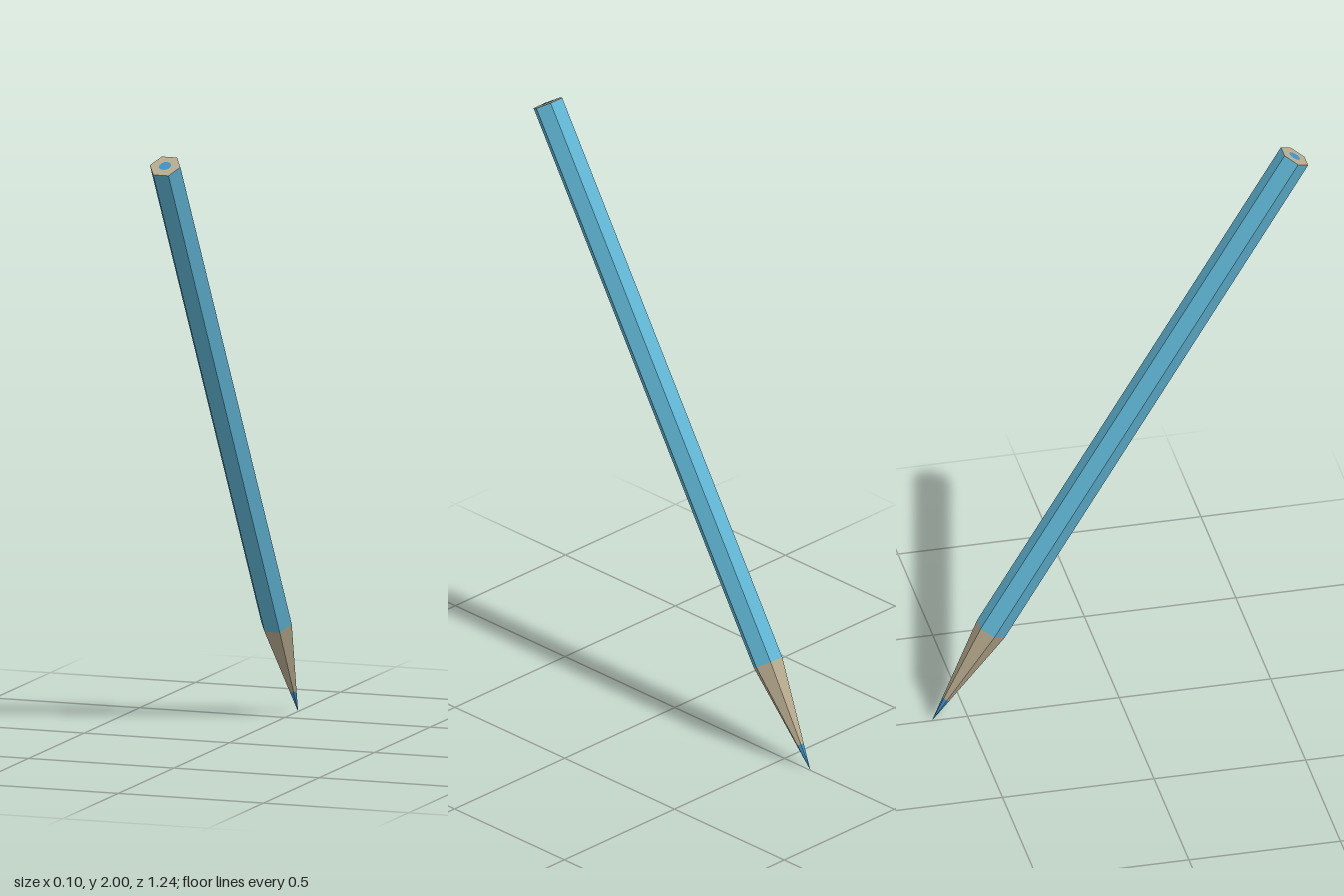
import * as THREE from 'three';

const RADIUS = 0.0525;   // hexagon corner radius
const LENGTH = 2.312;    // tip to flat end
const CONE = 0.375;      // sharpened length
const LEAD_TIP = 0.09;   // exposed lead length
const TILT = 0.544;      // lean towards the front
const START = Math.PI / 6; // puts two hexagon corners on the x axis

export function createModel() {
  const paint = new THREE.MeshStandardMaterial({ color: 0x5fb4d3 });
  const wood = new THREE.MeshStandardMaterial({ color: 0xb8ab8e });
  const lead = new THREE.MeshStandardMaterial({ color: 0x3f92c4 });
  paint.name = 'bluePaint';
  wood.name = 'bareWood';
  lead.name = 'blueLead';
  for (const m of [paint, wood, lead]) m.flatShading = true;

  const pencil = new THREE.Group();
  pencil.name = 'pencil';
  const add = (name, geometry, material, y) => {
    const mesh = new THREE.Mesh(geometry, material);
    mesh.name = name;
    mesh.position.y = y;
    pencil.add(mesh);
    return mesh;
  };

  // Six-sided section of the pencil between two heights along its axis
  const section = (name, y0, y1, r0, r1, material) => add(name,
    new THREE.CylinderGeometry(r1, r0, y1 - y0, 6, 1, true, START), material, (y0 + y1) / 2);

  section('shaft', CONE, LENGTH, RADIUS, RADIUS, paint);
  section('sharpenedWood', LEAD_TIP, CONE, RADIUS * LEAD_TIP / CONE, RADIUS, wood);
  section('leadTip', 0, LEAD_TIP, 0, RADIUS * LEAD_TIP / CONE, lead);

  // Flat end with the lead core showing in its middle
  add('endWood', new THREE.CircleGeometry(RADIUS, 6), wood, LENGTH).rotation.x = -Math.PI / 2;
  add('endLead', new THREE.CircleGeometry(0.02, 12), lead, LENGTH + 0.001).rotation.x = -Math.PI / 2;

  // Stand on the tip, leaning to the front
  pencil.rotation.x = TILT;
  pencil.position.z = -0.618;

  const model = new THREE.Group();
  model.name = 'model';
  model.add(pencil);
  return model;
}
